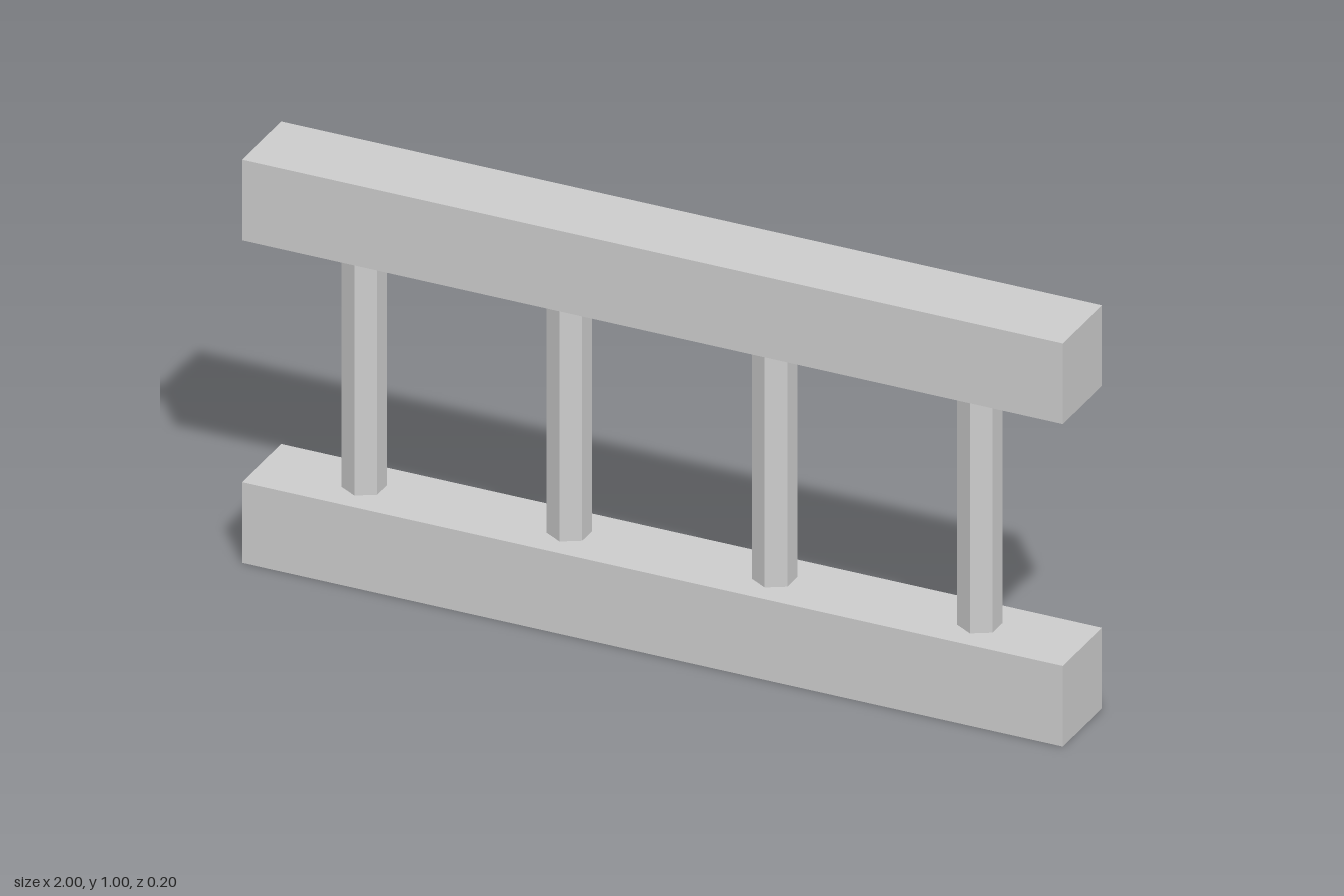
import * as THREE from 'three';

export function createModel() {
  const model = new THREE.Group();
  model.name = 'railing';
  const lightGrey = new THREE.MeshStandardMaterial({ color: 0xcccccc });
  lightGrey.name = 'lightGrey';
  lightGrey.flatShading = true;

  function add(name, geometry, x, y) {
    const mesh = new THREE.Mesh(geometry, lightGrey);
    mesh.name = name;
    mesh.position.set(x, y, 0);
    model.add(mesh);
  }

  // Square beams along the bottom and top
  const beam = new THREE.BoxGeometry(2, 0.2, 0.2);
  add('bottomRail', beam, 0, 0.1);
  add('topRail', beam, 0, 0.9);

  // Hexagonal posts, one edge facing the front
  const post = new THREE.CylinderGeometry(0.05, 0.05, 0.6, 6, 1, true);
  for (let i = 0; i < 4; i++) add(`post${i + 1}`, post, -0.75 + i * 0.5, 0.5);

  return model;
}
